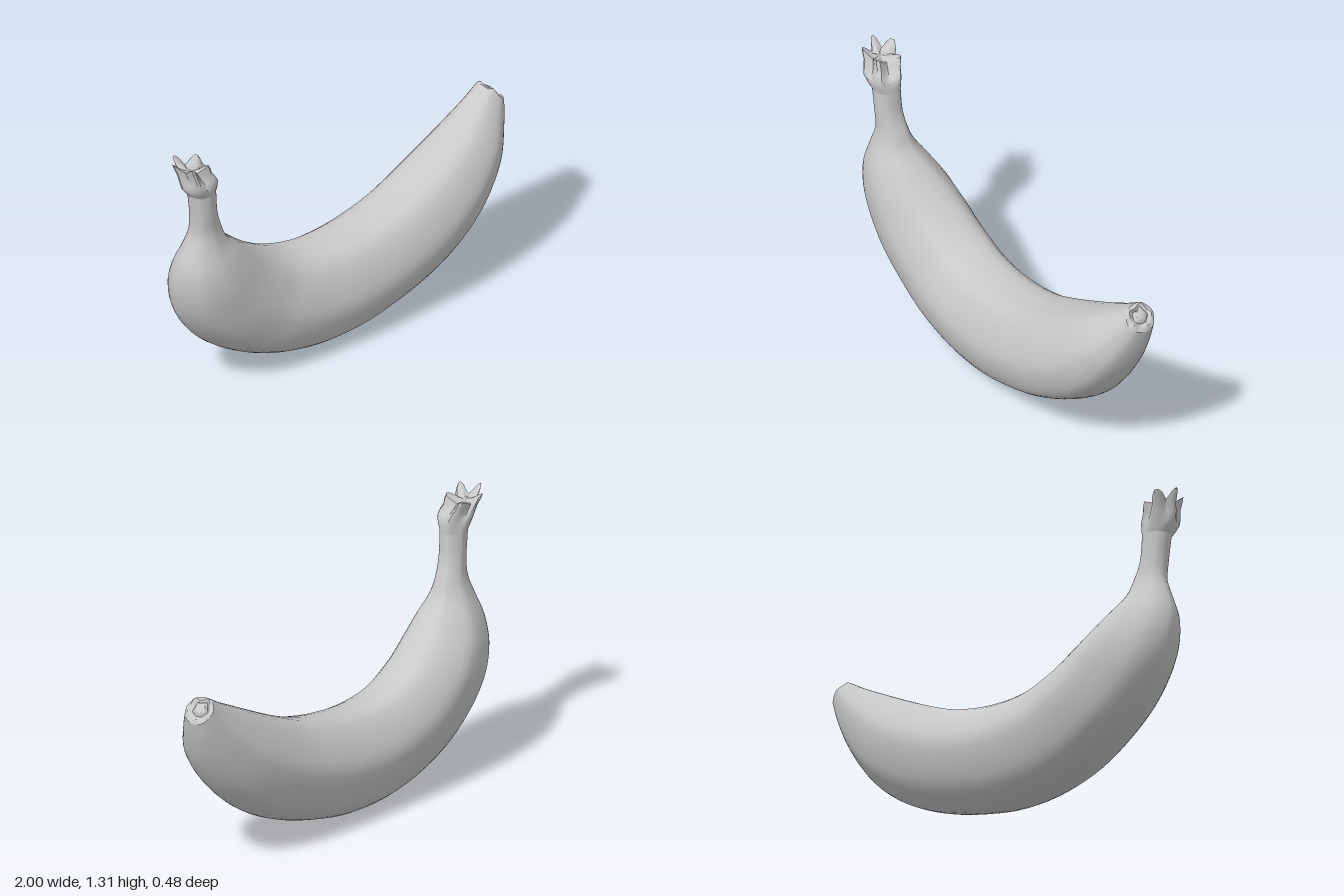
import * as THREE from 'three';
import { toCreasedNormals } from 'three/addons/utils/BufferGeometryUtils.js';

const SIDES = 35;

// Rounded ridged cross-section: x runs from outer (-1) to inner (+1) edge, y is sideways
const ridges = new THREE.CatmullRomCurve3([
  [-1, -0.08], [-0.7, 0.74], [0.02, 1], [0.84, 0.58], [0.98, -0.42], [0.2, -1], [-0.68, -0.72],
].map(([u, w]) => new THREE.Vector3(u, w, 0)), true, 'catmullrom', 0.42);

// Each section: outerX, outerY, innerX, innerY, zCentre, zHalfWidth, jaggedness
function loft(sections, steps) {
  const track = (f) => new THREE.CatmullRomCurve3(sections.map(f), false, 'catmullrom', 0.5);
  const outer = track((s) => new THREE.Vector3(s[0], s[1], 0));
  const inner = track((s) => new THREE.Vector3(s[2], s[3], 0));
  const side = track((s) => new THREE.Vector3(s[4], s[5], s[6] || 0));
  const rows = (sections.length - 1) * steps;
  const pos = [], index = [];
  for (let i = 0; i <= rows; i++) {
    const t = i / rows;
    const o = outer.getPoint(t), n = inner.getPoint(t), d = side.getPoint(t);
    for (let j = 0; j < SIDES; j++) {
      const r = ridges.getPoint(j / SIDES);
      const star = d.z * Math.cos((j / SIDES) * Math.PI * 10 + 0.6);
      const u = r.x * (1 + star), w = r.y * (1 + star);
      pos.push(
        (o.x + n.x) / 2 + (u * (n.x - o.x)) / 2,
        (o.y + n.y) / 2 + (u * (n.y - o.y)) / 2 + star * 0.07,
        d.x + w * d.y,
      );
      if (i < rows) {
        const k = (j + 1) % SIDES, a = i * SIDES, b = a + SIDES;
        index.push(a + j, b + j, a + k, a + k, b + j, b + k);
      }
    }
  }
  const geo = new THREE.BufferGeometry();
  geo.setAttribute('position', new THREE.Float32BufferAttribute(pos, 3));
  geo.setIndex(index);
  geo.computeVertexNormals();
  return geo;
}

export function createModel() {
  const model = new THREE.Group();
  model.name = 'banana';
  const skin = new THREE.MeshStandardMaterial({ color: 0xc8c8c8 });
  skin.name = 'pale grey';
  const add = (name, geo) => {
    const mesh = new THREE.Mesh(geo, skin);
    mesh.name = name;
    model.add(mesh);
  };

  // Stem and curved fruit
  add('fruitBody', loft([
    [-0.925, 1.12, -0.79, 1.12, 0.015, 0.062],
    [-0.91, 1.0, -0.78, 1.0, 0.012, 0.062],
    [-0.91, 0.9, -0.75, 0.91, 0.005, 0.068],
    [-0.94, 0.81, -0.715, 0.83, 0, 0.095],
    [-0.975, 0.7, -0.64, 0.755, -0.01, 0.14],
    [-0.975, 0.57, -0.55, 0.675, -0.025, 0.177],
    [-0.93, 0.43, -0.45, 0.6, -0.035, 0.195],
    [-0.83, 0.29, -0.36, 0.55, -0.035, 0.202],
    [-0.68, 0.165, -0.28, 0.52, -0.033, 0.205],
    [-0.49, 0.065, -0.2, 0.505, -0.022, 0.207],
    [-0.26, 0.008, -0.11, 0.5, -0.012, 0.21],
    [-0.02, 0.004, 0, 0.507, 0, 0.213],
    [0.2, 0.047, 0.12, 0.525, 0.01, 0.216],
    [0.42, 0.12, 0.27, 0.565, 0.02, 0.217],
    [0.62, 0.225, 0.42, 0.63, 0.025, 0.212],
    [0.78, 0.36, 0.56, 0.7, 0.025, 0.195],
    [0.9, 0.53, 0.7, 0.775, 0.02, 0.16],
    [0.965, 0.68, 0.82, 0.84, 0, 0.11],
    [0.995, 0.79, 0.9, 0.89, -0.015, 0.075],
  ], 4));

  // Torn crown on top of the stem, with a shallow hollow
  add('stemCrown', toCreasedNormals(loft([
    [-0.92, 1.255, -0.92, 1.255, 0, 0],
    [-0.955, 1.262, -0.885, 1.25, 0, 0.035, 0.1],
    [-0.985, 1.287, -0.845, 1.26, -0.005, 0.07, 0.28],
    [-0.97, 1.235, -0.825, 1.22, 0.005, 0.068, 0.2],
    [-0.963, 1.17, -0.792, 1.185, 0.02, 0.075, 0.08],
    [-0.925, 1.118, -0.79, 1.118, 0.015, 0.062],
  ], 2), 0.7));

  // Blossom end: puckered rim, small hollow and nub
  add('blossomTip', toCreasedNormals(loft([
    [0.995, 0.79, 0.9, 0.89, -0.015, 0.075],
    [0.985, 0.812, 0.915, 0.888, -0.015, 0.056, 0.08],
    [0.966, 0.818, 0.917, 0.87, -0.018, 0.038, 0.08],
    [0.968, 0.838, 0.932, 0.874, -0.02, 0.026],
    [0.953, 0.858, 0.953, 0.858, -0.02, 0],
  ], 2), 0.8));

  return model;
}
